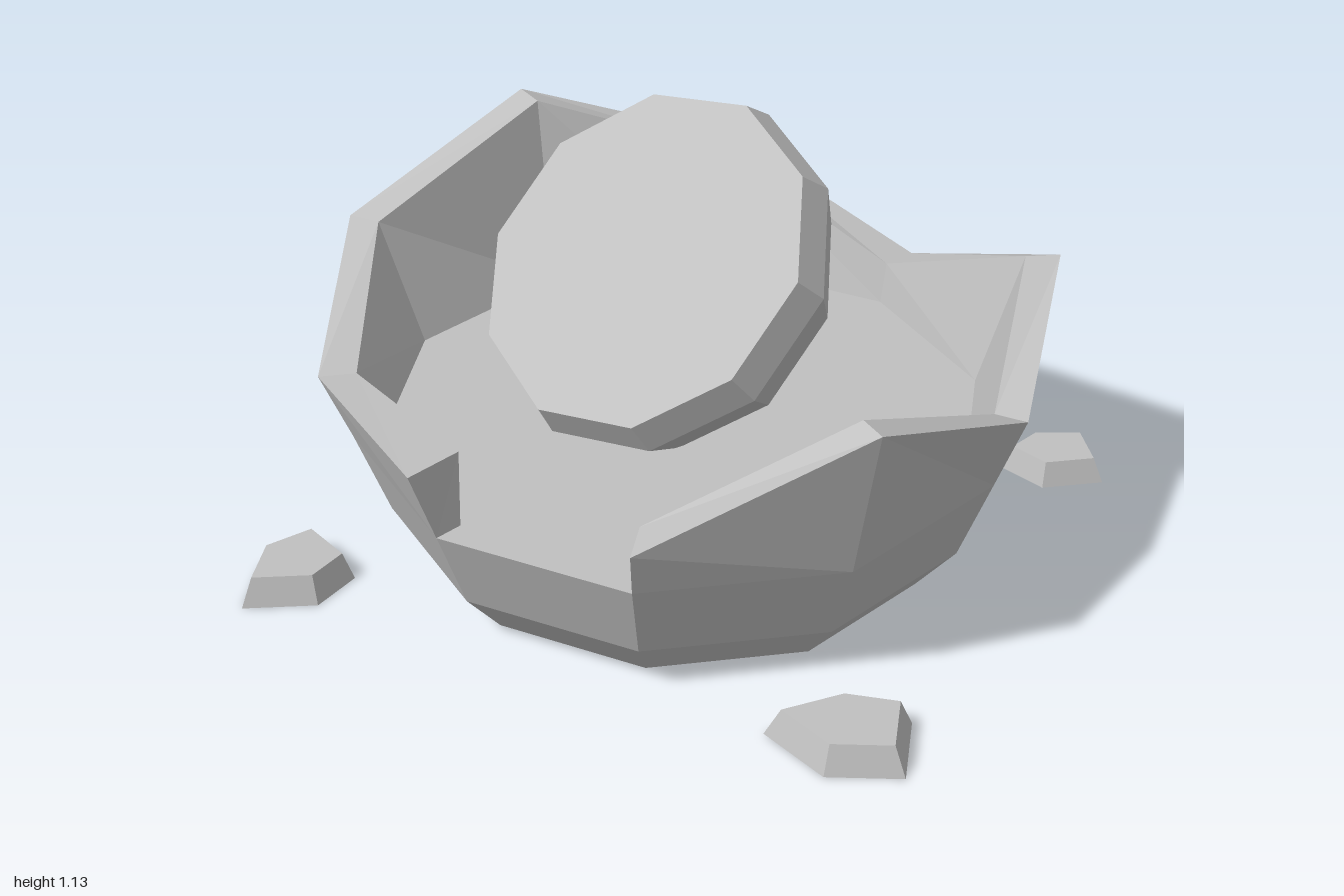
import * as THREE from 'three';

const SIDES = 10, CX = 0.02, CZ = 0.02, FLOOR_Y = 0.365;

// One corner of a regular ten-sided ring
const corner = (k, r, y) => {
  const a = (k * Math.PI * 2) / SIDES;
  return [CX + r * Math.cos(a), y, CZ + r * Math.sin(a)];
};

function meshFrom(triangles, material, name) {
  const g = new THREE.BufferGeometry();
  g.setAttribute('position', new THREE.Float32BufferAttribute(triangles.flat(), 3));
  g.computeVertexNormals();
  const m = new THREE.Mesh(g, material);
  m.name = name;
  return m;
}

// Joins neighbouring cross-sections with quads
function loft(sections) {
  const out = [];
  for (let i = 0; i < sections.length - 1; i++) {
    const s = sections[i], t = sections[i + 1];
    for (let j = 0; j < s.length - 1; j++) {
      out.push(s[j], s[j + 1], t[j + 1], s[j], t[j + 1], t[j]);
    }
  }
  return out;
}

export function createModel() {
  const group = new THREE.Group();
  const stone = new THREE.MeshStandardMaterial({ color: 0xc0c0c0, flatShading: true });
  stone.name = 'grey stone';

  // Lower bowl: base, chamfered foot, flared side and flat floor
  const bowl = [];
  for (let k = 0; k <= SIDES; k++) {
    bowl.push([
      corner(k, 0, 0), corner(k, 0.68, 0), corner(k, 0.79, 0.13),
      corner(k, 0.88, FLOOR_Y), corner(k, 0, FLOOR_Y),
    ]);
  }
  group.add(meshFrom(loft(bowl), stone, 'bowlBase'));

  // Broken rim, from the front right around the back: outer x, z, inner x, z, height
  const rim = [
    [-0.28, 0.93, -0.23, 0.77, 0.575],
    [-0.76, 0.58, -0.68, 0.52, 0.55],
    [-1.0, 0.02, -0.91, 0.02, 0.705],
    [-0.78, -0.56, -0.70, -0.51, 0.89],
    [-0.295, -0.94, -0.265, -0.85, 0.68],
    [0.31, -0.86, 0.27, -0.77, 0.475],
    [0.84, -0.58, 0.76, -0.53, 0.73],
    [0.98, 0.02, 0.89, 0.02, 0.575],
    [0.82, 0.60, 0.75, 0.55, 0.81],
    [0.31, 0.90, 0.27, 0.77, 0.5],
  ];
  const wall = rim.map(([ox, oz, ix, iz, y], i) => [
    corner(i + 3, 0.88, FLOOR_Y), [ox, y, oz], [ix, y, iz], corner(i + 3, 0.8, FLOOR_Y),
  ]);
  const [a, b, c, d] = wall[0], [e, f, g, h] = wall[wall.length - 1];
  const caps = [a, c, b, a, d, c, e, f, g, e, g, h];
  group.add(meshFrom([...loft(wall), ...caps], stone, 'brokenWall'));

  // Bevelled slab leaning inside the bowl
  const profile = [[0, -0.25], [0.44, -0.25], [0.505, -0.1], [0.48, 0], [0, 0]]
    .map(([x, y]) => new THREE.Vector2(x, y));
  const slabGeometry = new THREE.LatheGeometry(profile, SIDES);
  slabGeometry.rotateY(Math.PI / SIDES);
  const n = new THREE.Vector3(-0.2, 0.72, 0.66).normalize();
  const side = new THREE.Vector3(1, 0, 0).addScaledVector(n, -n.x).normalize();
  const down = new THREE.Vector3().crossVectors(side, n);
  const slab = new THREE.Mesh(slabGeometry, stone);
  slab.name = 'leaningSlab';
  slab.quaternion.setFromRotationMatrix(new THREE.Matrix4().makeBasis(side, n, down));
  slab.position.set(-0.09, 0.8, 0.04);
  group.add(slab);

  // Loose five-sided stones, corners listed clockwise from above
  const stones = {
    frontLeftStone: [0.08, [0.75, 0.62], [0.92, 0.58], [0.99, 0.79], [0.81, 0.87], [0.61, 0.78]],
    frontRightStone: [0.08, [-0.81, 0.57], [-0.64, 0.65], [-0.66, 0.80], [-0.83, 0.90], [-0.89, 0.72]],
    backRightStone: [0.08, [-0.95, -0.77], [-0.75, -0.815], [-0.605, -0.72], [-0.66, -0.57], [-0.86, -0.59]],
    backLeftStone: [0.07, [0.88, -0.81], [0.98, -0.67], [0.84, -0.57], [0.70, -0.62], [0.74, -0.74]],
  };
  for (const [name, [height, ...pts]] of Object.entries(stones)) {
    const mx = pts.reduce((s, p) => s + p[0], 0) / 5;
    const mz = pts.reduce((s, p) => s + p[1], 0) / 5;
    const sections = [...pts, pts[0]].map(([x, z]) => [
      [mx, 0, mz], [x, 0, z],
      [mx + (x - mx) * 0.8, height, mz + (z - mz) * 0.8], [mx, height, mz],
    ]);
    group.add(meshFrom(loft(sections), stone, name));
  }
  return group;
}
